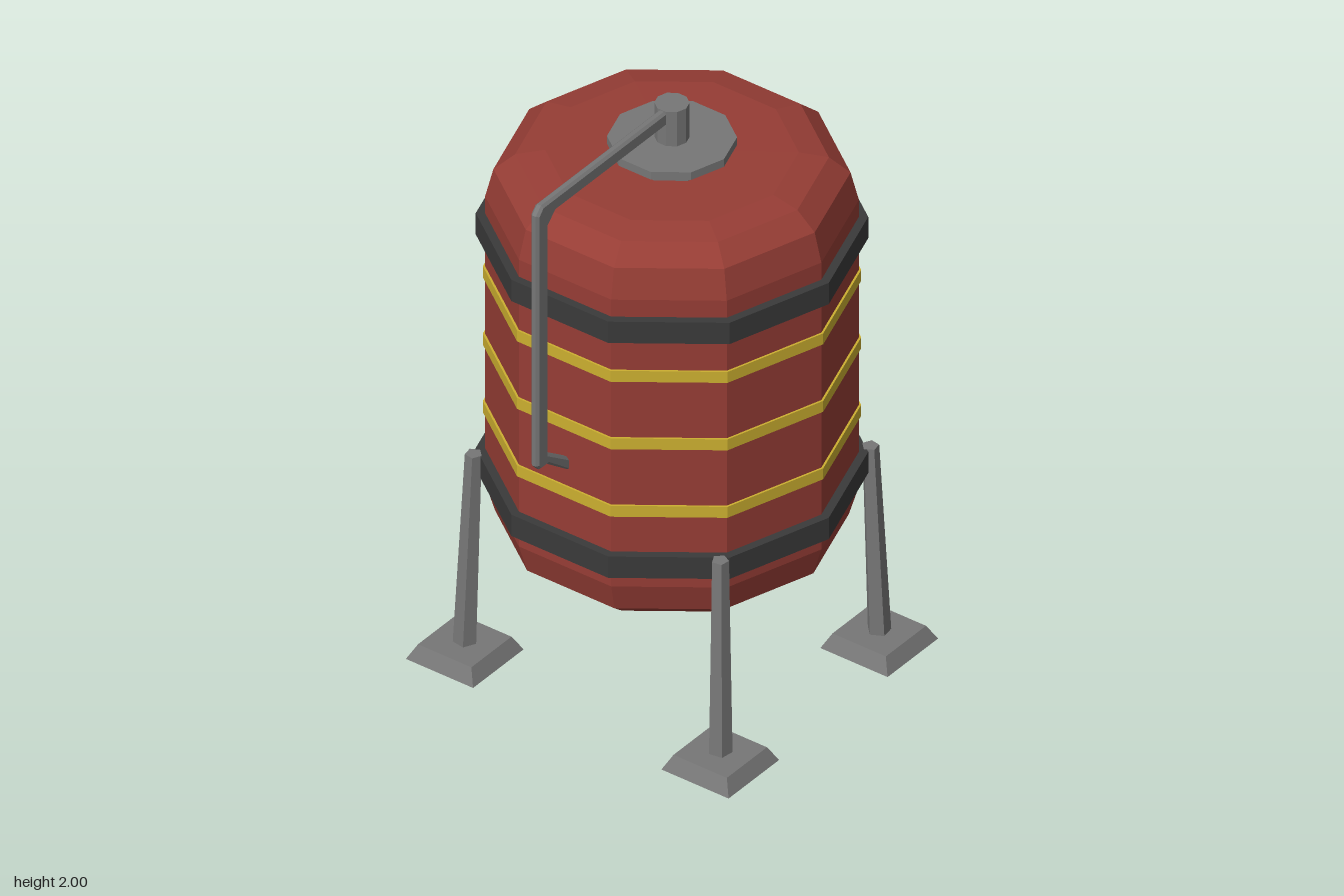
import * as THREE from 'three';

const CENTRE_Z = -0.063;
const STEP = Math.PI / 5; // one side of the ten-sided tank

const mat = (color) => new THREE.MeshStandardMaterial({ color, flatShading: true });
const red = mat(0x963d35), dark = mat(0x3a3a3a), yellow = mat(0xccaf30);
const steel = mat(0x777777), panelGrey = mat(0x858585), blue = mat(0x0f5fae);

function add(parent, name, geometry, material, x = 0, y = 0, z = 0) {
  const mesh = new THREE.Mesh(geometry, material);
  mesh.name = name;
  mesh.position.set(x, y, z);
  parent.add(mesh);
  return mesh;
}

// Faceted solid turned from [radius, height] pairs, listed upwards on the outside
function turned(profile, sides = 10, start = STEP / 2, sweep = Math.PI * 2) {
  const points = profile.map(([r, y]) => new THREE.Vector2(r, y));
  return new THREE.LatheGeometry(points, sides, start, sweep);
}

const hoop = (inner, outer, y0, y1) =>
  [[inner, y0], [outer, y0], [outer, y1], [inner, y1]];

// Flat outline with a small chamfer, centred on its thickness
function slab(points, thickness, bevel) {
  const shape = new THREE.Shape(points.map(([a, b]) => new THREE.Vector2(a, b)));
  return new THREE.ExtrudeGeometry(shape, {
    depth: thickness - 2 * bevel, bevelEnabled: true, bevelSegments: 1,
    bevelSize: bevel, bevelThickness: bevel, bevelOffset: -bevel,
  }).translate(0, 0, bevel - thickness / 2);
}

function createTank() {
  const tank = new THREE.Group();
  tank.name = 'tank';
  tank.position.z = CENTRE_Z;

  // Barrel with rounded ends
  add(tank, 'barrel', turned([
    [0, 0.425], [0.37, 0.428], [0.46, 0.445], [0.53, 0.5], [0.56, 0.6],
    [0.56, 1.65], [0.535, 1.75], [0.47, 1.805], [0.38, 1.822], [0, 1.825],
  ]), red);

  // Heavy dark bands
  for (const [name, y] of [['lowerBand', 0.65], ['upperBand', 1.51]]) {
    add(tank, name, turned(hoop(0.55, 0.588, y, y + 0.078)), dark);
  }

  // Thin hoops: yellow on nine sides, grey where they cross the back panel
  for (const y of [0.86, 1.107, 1.354]) {
    const profile = hoop(0.55, 0.567, y, y + 0.04);
    add(tank, 'yellowHoop', turned(profile, 9, STEP * 5.5, STEP * 9), yellow);
    add(tank, 'panelHoop', turned(profile, 1, STEP * 4.5, STEP), panelGrey);
  }

  // Back panel with a water drop
  add(tank, 'backPanel', new THREE.BoxGeometry(0.346, 0.64, 0.006), panelGrey, 0, 1.12, -0.533);
  const drop = new THREE.Shape();
  drop.moveTo(0, 0.215);
  drop.bezierCurveTo(-0.04, 0.1, -0.13, 0.01, -0.13, -0.1);
  drop.bezierCurveTo(-0.13, -0.275, 0.13, -0.275, 0.13, -0.1);
  drop.bezierCurveTo(0.13, 0.01, 0.04, 0.1, 0, 0.215);
  add(tank, 'waterDrop', new THREE.ExtrudeGeometry(drop, {
    depth: 0.008, bevelEnabled: false, curveSegments: 10,
  }), blue, 0, 1.125, -0.543);

  // Stepped lid flange and outlet stack
  add(tank, 'lidFlange', turned([
    [0, 1.81], [0.165, 1.81], [0.165, 1.847], [0.195, 1.847], [0.195, 1.875], [0, 1.875],
  ]), steel);
  add(tank, 'outletStack', turned([[0, 1.86], [0.053, 1.86], [0.053, 2], [0, 2]]), steel);
  return tank;
}

// Pipe from the stack, over the front and back into the barrel
function createPipe(parent) {
  const outline = [
    [-0.04, 1.945], [0.535, 1.945], [0.57, 1.91], [0.57, 1.075], [0.46, 0.998],
    [0.46, 0.952], [0.572, 1.037], [0.61, 1.037], [0.625, 1.055],
    [0.625, 1.97], [0.6, 1.997], [-0.04, 1.997],
  ];
  add(parent, 'pipe', slab(outline, 0.03, 0.008).rotateY(-Math.PI / 2), steel);
}

// Splayed five-sided leg on a hollow square foot
function createLeg(sx, sz) {
  const leg = new THREE.Group();
  leg.name = (sz > 0 ? 'front' : 'back') + (sx > 0 ? 'Left' : 'Right') + 'Leg';
  const bottom = new THREE.Vector3(sx * 0.479, 0.02, CENTRE_Z + sz * 0.396);
  const top = new THREE.Vector3(sx * 0.462, 0.73, CENTRE_Z + sz * 0.374);
  const height = top.y - bottom.y;

  const post = new THREE.CylinderGeometry(0.027, 0.038, height, 5);
  post.rotateY(Math.atan2(sx, sz)).translate(0, height / 2, 0);
  // Shear the post so its ends stay level
  const p = post.attributes.position;
  for (let i = 0; i < p.count; i++) {
    const t = p.getY(i) / height;
    p.setX(i, p.getX(i) + t * (top.x - bottom.x));
    p.setZ(i, p.getZ(i) + t * (top.z - bottom.z));
  }
  add(leg, 'legPost', post, steel, bottom.x, bottom.y, bottom.z);

  const foot = [[0, 0.03], [0.065, 0.03], [0.08, 0], [0.126, 0], [0.1, 0.05], [0, 0.05]]
    .map(([half, y]) => [half * Math.SQRT2, y]);
  add(leg, 'foot', turned(foot, 4, Math.PI / 4), steel, bottom.x, 0, bottom.z);
  return leg;
}

export function createModel() {
  const model = new THREE.Group();
  model.name = 'waterTank';
  model.add(createTank());
  createPipe(model);
  for (const sx of [-1, 1]) for (const sz of [-1, 1]) model.add(createLeg(sx, sz));
  return model;
}
